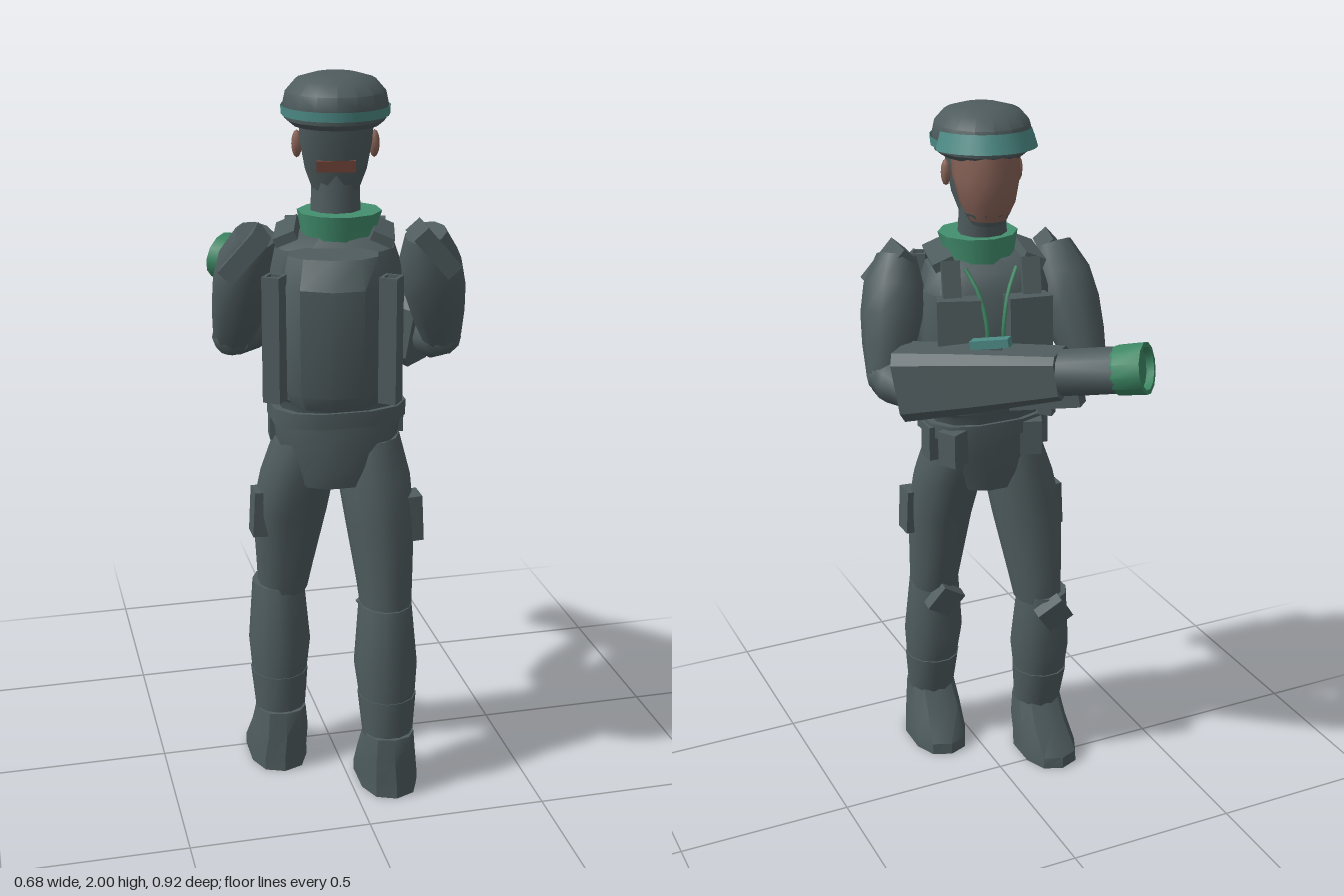
import * as THREE from 'three';
import { toCreasedNormals } from 'three/addons/utils/BufferGeometryUtils.js';

const mat = (name, color, side = THREE.FrontSide) => {
  const m = new THREE.MeshStandardMaterial({ color, side });
  m.name = name;
  return m;
};
const V = (a) => new THREE.Vector3(...a);

// Stack of rounded cross-sections [y, centreX, centreZ, radiusX, radiusZ], bottom to top.
// A larger p makes the section squarer.
function loft(rings, n = 10, p = 2, crease = 0.7) {
  const pos = [], idx = [], pw = (v) => Math.sign(v) * Math.abs(v) ** (2 / p);
  for (const [y, cx, cz, rx, rz] of rings) {
    for (let i = 0; i < n; i++) {
      const t = ((i + 0.5) / n) * Math.PI * 2;
      pos.push(cx + rx * pw(Math.cos(t)), y, cz + rz * pw(Math.sin(t)));
    }
  }
  const top = (rings.length - 1) * n;
  for (let j = 0; j < rings.length - 1; j++) {
    for (let i = 0; i < n; i++) {
      const a = j * n + i, c = j * n + ((i + 1) % n);
      idx.push(a, a + n, c, c, a + n, c + n);
    }
  }
  for (let i = 1; i < n - 1; i++) idx.push(0, i, i + 1, top, top + i + 1, top + i);
  const g = new THREE.BufferGeometry();
  g.setAttribute('position', new THREE.Float32BufferAttribute(pos, 3));
  g.setIndex(idx);
  return toCreasedNormals(g, crease);
}
const lathe = (points, n, crease = 0.6) =>
  toCreasedNormals(new THREE.LatheGeometry(points.map(([r, y]) => new THREE.Vector2(r, y)), n), crease);

export function createModel() {
  const slate = mat('slate fabric', 0x4f5c5e);
  const teal = mat('teal', 0x4c8984, THREE.DoubleSide);
  const green = mat('green', 0x3c8663, THREE.DoubleSide);
  const collarGreen = mat('collar green', 0x43906f);
  const skin = mat('skin', 0x876257);
  const darkSkin = mat('shaded skin', 0x79493f);
  const root = new THREE.Group();
  root.name = 'soldier';

  const add = (parent, name, geo, m, pos = [0, 0, 0], rot = [0, 0, 0]) => {
    const mesh = new THREE.Mesh(geo, m);
    mesh.name = name;
    mesh.position.set(...pos);
    mesh.rotation.set(...rot);
    parent.add(mesh);
    return mesh;
  };
  const box = (parent, name, size, pos, rot, m = slate) =>
    add(parent, name, new THREE.BoxGeometry(...size), m, pos, rot);
  // Tapered limb from a to b with radii spaced evenly along it
  const limb = (parent, name, a, b, radii) => {
    const d = V(b).sub(V(a)), len = d.length();
    const rings = radii.map((r, i) => [(len * i) / (radii.length - 1), 0, 0, r, r]);
    const mesh = add(parent, name, loft(rings, 10, 2, 0.9), slate, a);
    mesh.quaternion.setFromUnitVectors(new THREE.Vector3(0, 1, 0), d.normalize());
  };

  // Legs: left one trails, right one leads
  const legs = [
    { side: 'left', s: 1, thigh: [[0.54, 0.1, 0.268, 0.07, 0.082], [0.62, 0.098, 0.254, 0.077, 0.09],
      [0.8, 0.088, 0.232, 0.095, 0.104], [0.92, 0.078, 0.2, 0.1, 0.112], [1.03, 0.065, 0.165, 0.09, 0.112]],
      cx: 0.1, cz: 0.282 },
    { side: 'right', s: -1, thigh: [[0.54, -0.15, 0.06, 0.07, 0.08], [0.62, -0.145, 0.07, 0.08, 0.088],
      [0.8, -0.138, 0.11, 0.104, 0.1], [0.92, -0.12, 0.135, 0.102, 0.112], [1.03, -0.1, 0.16, 0.09, 0.112]],
      cx: -0.165, cz: 0.067 },
  ];
  for (const { side, s, thigh, cx, cz } of legs) {
    const leg = new THREE.Group();
    leg.name = side + 'Leg';
    root.add(leg);
    add(leg, 'thigh', loft(thigh, 12), slate);
    add(leg, 'calf', loft([[0.15, cx, cz + 0.022, 0.066, 0.064], [0.28, cx, cz + 0.008, 0.078, 0.083],
      [0.38, cx - s * 0.003, cz, 0.088, 0.096], [0.56, cx - s * 0.003, cz - 0.012, 0.073, 0.084]], 12), slate);
    add(leg, 'gaiter', loft([[0.16, cx, cz + 0.02, 0.07, 0.068], [0.29, cx, cz + 0.006, 0.082, 0.088]], 12), slate);
    add(leg, 'boot', loft([[0, cx + s * 0.006, cz - 0.022, 0.084, 0.133], [0.035, cx + s * 0.006, cz - 0.022, 0.084, 0.131],
      [0.11, cx, cz + 0.01, 0.078, 0.1], [0.18, cx, cz + 0.027, 0.07, 0.072]], 10, 2.4, 0.6), slate);
    box(leg, 'kneePad', [0.085, 0.085, 0.035], [cx - s * 0.003, 0.515, cz - 0.094], [-0.25, 0, s * 0.6]);
    box(leg, 'thighPouch', [0.045, 0.13, 0.065], [thigh[2][1] + s * 0.088, 0.805, thigh[2][2] + 0.02], [0, 0, s * 0.05]);
  }

  // Hips and belt
  add(root, 'pelvis', loft([[0.912, -0.03, 0.168, 0.112, 0.116], [0.96, -0.028, 0.168, 0.135, 0.124],
    [1.03, -0.02, 0.163, 0.168, 0.126], [1.09, -0.017, 0.16, 0.176, 0.126]], 12, 2.5), slate);
  add(root, 'belt', loft([[1.085, -0.017, 0.16, 0.186, 0.132], [1.128, -0.017, 0.16, 0.186, 0.132]], 12, 2.7), slate);
  add(root, 'waist', loft([[1.1, -0.017, 0.16, 0.16, 0.12], [1.15, -0.017, 0.16, 0.168, 0.125],
    [1.16, -0.017, 0.16, 0.178, 0.13], [1.22, -0.017, 0.16, 0.172, 0.13]], 12, 2.6), slate);
  for (const [x, z, r] of [[0.143, 0.13, 0], [0.12, 0.055, 0.5], [-0.12, 0.05, -0.4], [-0.165, 0.12, -0.1]])
    box(root, 'beltPouch', [0.06, 0.1, 0.06], [x, 1.068, z], [0, r, 0]);

  // Upper body, turned slightly
  const torso = new THREE.Group();
  torso.name = 'torso';
  torso.position.set(-0.02, 0, 0.15);
  torso.rotation.y = -0.25;
  root.add(torso);
  add(torso, 'chest', loft([[1.18, 0, 0, 0.16, 0.125], [1.36, 0, 0, 0.18, 0.135], [1.5, 0, 0.01, 0.18, 0.135],
    [1.56, 0, 0.02, 0.16, 0.115], [1.59, 0, 0.02, 0.1, 0.08]], 12, 2.8), slate);
  add(torso, 'backpack', loft([[1.18, 0, 0.19, 0.11, 0.09], [1.22, 0, 0.195, 0.128, 0.104], [1.5, 0, 0.195, 0.132, 0.108],
    [1.57, 0, 0.18, 0.12, 0.075]], 10, 2.2, 0.5), slate);
  for (const s of [-1, 1]) {
    add(torso, 'packTube', lathe([[0.022, 0], [0.034, 0], [0.034, 0.33], [0.022, 0.33], [0.022, 0]], 4),
      slate, [s * 0.147, 1.2, 0.248], [0, 0.4, 0]);
    box(torso, 'chestPouch', [0.12, 0.16, 0.07], [s * 0.095, 1.43, -0.15], [0.08, s * -0.12, 0]);
    box(torso, 'lowerPouch', [0.1, 0.12, 0.06], [s * 0.095, 1.26, -0.135], [0, s * -0.2, 0]);
    box(torso, 'shoulderStrap', [0.06, 0.025, 0.2], [s * 0.125, 1.59, 0.01], [0, 0, s * -0.4]);
    box(torso, 'strapFront', [0.05, 0.13, 0.025], [s * 0.11, 1.54, -0.115], [0.3, 0, 0]);
    const cord = new THREE.CatmullRomCurve3([[0.07, 1.58, -0.11], [0.04, 1.52, -0.15], [0.022, 1.42, -0.178],
      [0.03, 1.3, -0.16]].map(([x, y, z]) => V([s * x, y, z])));
    add(torso, 'chestCord', new THREE.TubeGeometry(cord, 10, 0.006, 5), green);
  }

  // Neck, collar and head
  add(root, 'collar', loft([[1.56, -0.015, 0.168, 0.092, 0.09], [1.6, -0.015, 0.17, 0.1, 0.095],
    [1.65, -0.013, 0.175, 0.112, 0.106]], 10), collarGreen);
  const head = new THREE.Group();
  head.name = 'head';
  head.position.set(0.012, 0, 0.003);
  head.rotation.y = -0.2;
  root.add(head);
  add(head, 'neck', loft([[1.6, 0, 0.165, 0.07, 0.07], [1.7, 0, 0.155, 0.066, 0.066],
    [1.78, 0, 0.15, 0.07, 0.07]], 10), slate);
  add(head, 'face', loft([[1.705, 0, 0.088, 0.052, 0.05], [1.75, 0, 0.096, 0.076, 0.076],
    [1.82, 0, 0.11, 0.091, 0.103], [1.9, 0, 0.125, 0.092, 0.11]], 12), skin);
  add(head, 'hood', loft([[1.7, 0, 0.16, 0.06, 0.05], [1.76, 0, 0.17, 0.082, 0.055],
    [1.83, 0, 0.175, 0.095, 0.062], [1.9, 0, 0.18, 0.1, 0.066]], 12, 2.4), slate);
  add(head, 'chinStrap', loft([[1.692, 0, 0.09, 0.045, 0.046], [1.725, 0, 0.096, 0.065, 0.066]], 12), slate);
  box(head, 'napeSkin', [0.1, 0.03, 0.008], [0, 1.772, 0.223], [0.15, 0, 0], darkSkin);
  for (const s of [-1, 1])
    add(head, 'ear', new THREE.SphereGeometry(1, 8, 6).scale(0.014, 0.036, 0.02), skin, [s * 0.1, 1.82, 0.16]);
  add(head, 'helmet', lathe([[0, 1.87], [0.115, 1.87], [0.134, 1.885], [0.14, 1.92], [0.132, 1.955], [0.105, 1.985],
    [0.06, 1.998], [0, 2]], 16).scale(0.98, 1, 1.08), slate, [0, 0, 0.155]);
  add(head, 'goggleBand', new THREE.CylinderGeometry(0.143, 0.142, 0.024, 20, 1, true).scale(0.99, 1, 1.08), teal,
    [0, 1.908, 0.155]);
  add(head, 'goggles', new THREE.CylinderGeometry(0.143, 0.16, 0.05, 14, 1, true, Math.PI * 0.6, Math.PI * 0.8)
    .scale(0.92, 1, 1.15), teal, [0, 1.915, 0.155], [0.07, 0, 0]);

  // Right arm reaches under the launcher, left arm holds its rear
  const arms = [
    { side: 'right', sh: [-0.232, 1.59, 0.155], el: [-0.272, 1.275, 0.0], ha: [-0.085, 1.29, -0.185],
      pad: [-0.262, 1.545, 0.17], s: -1, yaw: -0.3 },
    { side: 'left', sh: [0.205, 1.59, 0.235], el: [0.282, 1.28, 0.14], ha: [0.245, 1.255, 0.035],
      pad: [0.225, 1.55, 0.245], s: 1, yaw: -0.1 },
  ];
  for (const { side, sh, el, ha, pad, s, yaw } of arms) {
    const arm = new THREE.Group();
    arm.name = side + 'Arm';
    root.add(arm);
    limb(arm, 'upperArm', sh, el, [0.055, 0.084, 0.086, 0.074, 0.055]);
    limb(arm, 'forearm', el, ha, [0.056, 0.064, 0.054, 0.042]);
    add(arm, 'elbow', new THREE.IcosahedronGeometry(0.056, 1), slate, el);
    add(arm, 'hand', new THREE.IcosahedronGeometry(0.045, 1), slate, ha);
    box(arm, 'shoulderPad', [0.14, 0.05, 0.13], pad, [0, yaw, s * -0.85]);
  }

  // Launcher, built along its own +z
  const launcher = new THREE.Group();
  launcher.name = 'launcher';
  launcher.position.set(0.25, 1.28, 0.075);
  launcher.lookAt(-0.23, 1.405, -0.405);
  root.add(launcher);
  const along = [Math.PI / 2, 0, 0];
  add(launcher, 'rearBody', loft([[0, 0, 0, 0.077, 0.102], [0.2, 0, 0, 0.076, 0.087], [0.46, 0, 0, 0.07, 0.062]], 8, 5, 0.5),
    slate, [0, 0, 0], along);
  add(launcher, 'barrel', loft([[0.4, 0, 0, 0.07, 0.062], [0.63, 0, 0, 0.07, 0.061]], 12), slate, [0, 0, 0], along);
  add(launcher, 'muzzleRing', lathe([[0.066, 0.605], [0.072, 0.615], [0.075, 0.69], [0.062, 0.69], [0.058, 0.67], [0, 0.67]], 12)
    .scale(1, 1, 0.92), green, [0, 0, 0], along);
  box(launcher, 'sightMount', [0.022, 0.03, 0.06], [0, 0.08, 0.27]);
  box(launcher, 'sight', [0.03, 0.024, 0.11], [0, 0.094, 0.27], [0, 0, 0], teal);
  box(launcher, 'underRail', [0.05, 0.05, 0.2], [0, -0.065, 0.4]);
  box(launcher, 'foreGrip', [0.035, 0.07, 0.04], [0, -0.075, 0.4], [0.2, 0, 0]);
  return root;
}
